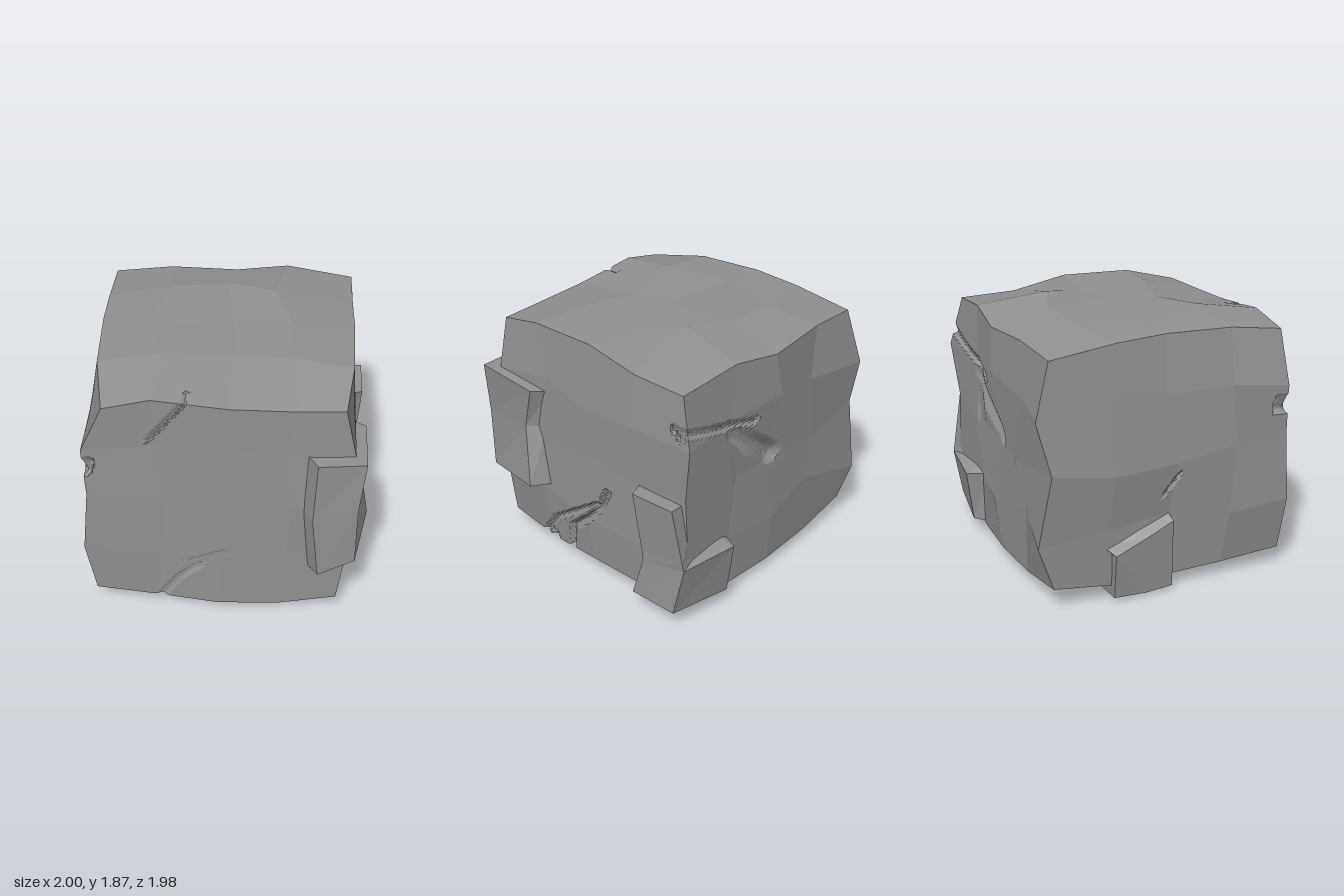
import * as THREE from 'three';

const V = (x, y, z) => new THREE.Vector3(x, y, z);

// Repeatable noise in -1..1
function noise(i, j, k, s) {
  const n = Math.sin(i * 12.99 + j * 78.23 + k * 37.72 + s * 51.13) * 43758.545;
  return (n - Math.floor(n)) * 2 - 1;
}

// Heights of the top and bottom, rows from back to front, columns from left to right
const TOP = [
  [1.74, 1.77, 1.74, 1.80, 1.74],
  [1.80, 1.83, 1.85, 1.87, 1.75],
  [1.82, 1.82, 1.84, 1.81, 1.83],
  [1.80, 1.86, 1.81, 1.84, 1.82],
  [1.72, 1.79, 1.74, 1.73, 1.73],
];
// Plan positions of the nine inner points of the top
const TOP_PLAN = [
  [[-0.42, -0.5], [-0.03, -0.52], [0.3, -0.4]],
  [[-0.6, -0.02], [0.03, 0.03], [0.43, -0.06]],
  [[-0.42, 0.43], [0.04, 0.35], [0.45, 0.43]],
];
const BOTTOM = [
  [0.16, 0.10, 0.08, 0.08, 0.13],
  [0.10, 0.07, 0.06, 0.06, 0.12],
  [0.10, 0.06, 0.07, 0.05, 0.12],
  [0.11, 0.06, 0.05, 0.06, 0.11],
  [0.13, 0.09, 0.04, 0.03, 0.13],
];
// Depth of the back face, rows from bottom to top
const BACK = [
  [-0.86, -0.88, -0.89, -0.87, -0.85],
  [-0.97, -0.87, -0.94, -0.87, -0.91],
  [-0.88, -0.94, -0.86, -0.92, -0.89],
  [-0.97, -0.88, -0.95, -0.88, -0.94],
  [-0.86, -0.89, -0.92, -0.89, -0.85],
];
// Silhouette of the side edges, from bottom to top
const FRONT_LEFT = [-0.91, -0.975, -0.93, -0.95, -0.79];
const BACK_LEFT = [-0.92, -0.93, -0.97, -0.93, -0.89];
const FRONT_RIGHT = [0.79, 0.85, 0.87, 0.87, 0.79];
const BACK_RIGHT = [0.86, 0.87, 0.88, 0.9, 0.86];

// One control point of the coarse 4 x 4 x 4 stone lattice
function node(i, j, k) {
  const edge = (n) => n === 0 || n === 4;
  const slide = (n, s) => (n - 2) * 0.44 + noise(i, j, k, s) * 0.055;
  let x = slide(i, 1), y = 0.95 + slide(j, 2), z = slide(k, 3);
  if (j === 4 && !edge(i) && !edge(k)) [x, z] = TOP_PLAN[k - 1][i - 1];
  if (edge(i)) {
    const a = i ? BACK_RIGHT[j] : BACK_LEFT[j];
    const b = i ? FRONT_RIGHT[j] : FRONT_LEFT[j];
    x = a + (b - a) * (k / 4) ** 5 + (edge(k) || edge(j) ? 0 : noise(i, j, k, 4) * 0.025);
  }
  if (j === 4) y = TOP[k][i];
  if (j === 0) y = BOTTOM[k][i];
  if (k === 4) z = 0.88 + noise(i, j, k, 6) * 0.018;
  if (k === 0) z = BACK[j][i];
  return V(x, y, z);
}

// Cracks and chips: face axis, side, width, depth, path on the other two axes
const CRACKS = [
  ['z', 1, 0.024, 0.025, [[-0.51, 1.46], [-0.24, 1.8]]],
  ['z', 1, 0.05, 0.014, [[-0.48, 0.24], [-0.28, 0.38], [0, 0.5]]],
  ['z', 1, 0.04, 0.02, [[-0.45, 0.08], [-0.32, 0.26], [-0.18, 0.38]]],
  ['x', 1, 0.033, 0.04, [[0.75, -0.17], [0.6, -0.1], [0.45, 0.03], [0.3, 0.2], [0.08, 0.23]]],
  ['x', 1, 0.03, 0.03, [[0.6, -0.06], [0.3, 0.38], [0.08, 0.55]]],
  ['z', -1, 0.04, 0.035, [[0.88, 1.5], [0.5, 1.38], [0.2, 1.32]]],
  ['z', -1, 0.09, 0.04, [[0.4, 1.28], [0.15, 1.1], [-0.03, 0.96]]],
  ['z', -1, 0.1, 0.025, [[0.4, 1.25], [0.36, 0.95]]],
  ['x', -1, 0.022, 0.015, [[0.7, -0.06], [0.85, 0.06]]],
  ['y', -1, 0.04, 0.045, [[0.85, 0.42], [0.62, 0.3], [0.4, 0.05]]],
  ['z', 1, 0.05, 0.05, [[-0.93, 1.2], [-0.91, 1.27]]],
  ['x', 1, 0.04, 0.05, [[1.46, -0.86], [1.48, -0.84]]],
];
const OTHERS = { x: ['y', 'z'], y: ['x', 'z'], z: ['x', 'y'] };
const CENTRE = V(0, 0.95, 0);

function segmentDistance(px, py, [ax, ay], [bx, by]) {
  const dx = bx - ax, dy = by - ay;
  const t = THREE.MathUtils.clamp(((px - ax) * dx + (py - ay) * dy) / (dx * dx + dy * dy), 0, 1);
  return Math.hypot(px - ax - dx * t, py - ay - dy * t);
}

function crackDepth(p) {
  let depth = 0;
  for (const [axis, side, width, deep, path] of CRACKS) {
    if ((p[axis] - CENTRE[axis]) * side < 0.78) continue;
    const [u, v] = OTHERS[axis];
    for (let n = 0; n < path.length - 1; n++) {
      const d = segmentDistance(p[u], p[v], path[n], path[n + 1]);
      depth = Math.max(depth, deep * Math.min(1, 1.3 * (1 - d / width)));
    }
  }
  return depth;
}

// Main block: a fine box bent onto the coarse lattice, then carved
function blockGeometry() {
  const lattice = [];
  for (let i = 0; i < 5; i++) for (let j = 0; j < 5; j++) for (let k = 0; k < 5; k++) lattice.push(node(i, j, k));
  const box = new THREE.BoxGeometry(4, 4, 4, 96, 96, 96);
  const flat = box.toNonIndexed();
  const pos = box.attributes.position;
  const q = V(0, 0, 0), p = V(0, 0, 0);
  for (let n = 0; n < pos.count; n++) {
    q.fromBufferAttribute(pos, n).addScalar(2);
    const c = q.toArray().map((a) => THREE.MathUtils.clamp(Math.floor(a + 1e-5), 0, 3));
    const f = q.toArray().map((a, m) => a - c[m]);
    p.set(0, 0, 0);
    for (let m = 0; m < 8; m++) {
      const b = [m & 1, (m >> 1) & 1, m >> 2];
      const w = b.reduce((s, bit, a) => s * (bit ? f[a] : 1 - f[a]), 1);
      p.addScaledVector(lattice[(c[0] + b[0]) * 25 + (c[1] + b[1]) * 5 + c[2] + b[2]], w);
    }
    const depth = crackDepth(p);
    if (depth > 0) p.addScaledVector(CENTRE.clone().sub(p).normalize(), depth);
    pos.setXYZ(n, p.x, p.y, p.z);
  }
  const bent = box.toNonIndexed();
  bent.computeVertexNormals();
  flattenFacets(bent, flat.attributes.position);
  return bent;
}

// Give each coarse lattice facet one normal, leaving the carved triangles their own
function flattenFacets(geometry, source) {
  const normal = geometry.attributes.normal;
  const sums = new Map(), keys = [];
  const n = V(0, 0, 0);
  for (let t = 0; t < source.count; t += 3) {
    const key = ['getX', 'getY', 'getZ'].map((get) => {
      const mid = (source[get](t) + source[get](t + 1) + source[get](t + 2)) / 3;
      return Math.abs(mid) > 1.9999 ? Math.sign(mid) * 9 : Math.floor(mid);
    }).join();
    keys.push(key);
    if (!sums.has(key)) sums.set(key, V(0, 0, 0));
    sums.get(key).add(n.fromBufferAttribute(normal, t));
  }
  for (const sum of sums.values()) sum.normalize();
  keys.forEach((key, t) => {
    const mean = sums.get(key);
    if (mean.dot(n.fromBufferAttribute(normal, t * 3)) < 0.95) return;
    for (let c = 0; c < 3; c++) normal.setXYZ(t * 3 + c, mean.x, mean.y, mean.z);
  });
}

// Closed faceted solid through matching cross-sections
function loft(rings) {
  const out = [];
  const tri = (a, b, c) => out.push(...a, ...b, ...c);
  const n = rings[0].length, last = rings[rings.length - 1];
  for (let r = 0; r < rings.length - 1; r++) {
    for (let i = 0; i < n; i++) {
      const j = (i + 1) % n;
      tri(rings[r][i], rings[r][j], rings[r + 1][j]);
      tri(rings[r][i], rings[r + 1][j], rings[r + 1][i]);
    }
  }
  // end caps fan out from the buried inner corner
  for (let i = 0; i < n - 2; i++) {
    tri(last[n - 1], last[i], last[i + 1]);
    tri(rings[0][n - 1], rings[0][i + 1], rings[0][i]);
  }
  const g = new THREE.BufferGeometry();
  g.setAttribute('position', new THREE.Float32BufferAttribute(out, 3));
  g.computeVertexNormals();
  return g;
}

// Slab wrapping the front right edge
const frontSlab = [
  [[0.56, 0.42, 0.85], [0.65, 0.41, 0.97], [0.9, 0.55, 0.97], [1.0, 0.59, 0.48], [0.82, 0.59, 0.36], [0.6, 0.5, 0.5]],
  [[0.51, 0.9, 0.85], [0.6, 0.9, 0.98], [0.9, 1.0, 0.98], [0.93, 1.03, 0.57], [0.84, 1.03, 0.45], [0.6, 0.95, 0.5]],
  [[0.54, 1.37, 0.85], [0.62, 1.37, 0.99], [0.94, 1.38, 0.97], [0.95, 1.34, 0.48], [0.84, 1.33, 0.39], [0.6, 1.35, 0.5]],
];
// Slab wrapping the back right edge, with a low ledge on the back
const backSlab = [
  [[0.84, 0.12, -0.46], [0.97, 0.13, -0.49], [0.98, 0.14, -0.87], [0.5, 0.11, -0.94], [0.42, 0.1, -0.84], [0.5, 0.13, -0.5]],
  [[0.84, 0.42, -0.55], [0.95, 0.42, -0.57], [0.95, 0.5, -0.94], [0.49, 0.49, -0.99], [0.42, 0.49, -0.84], [0.5, 0.45, -0.5]],
  [[0.84, 0.5, -0.54], [0.95, 0.5, -0.56], [0.955, 0.55, -0.93], [0.6, 0.54, -0.84], [0.5, 0.54, -0.8], [0.5, 0.5, -0.5]],
  [[0.84, 0.94, -0.46], [0.98, 0.94, -0.51], [0.98, 0.95, -0.86], [0.7, 0.94, -0.84], [0.6, 0.94, -0.8], [0.5, 0.93, -0.5]],
];
// Slab under the left bottom edge
const bottomSlab = [
  [[-0.9, 0.4, -0.5], [-1.0, 0.35, -0.44], [-0.97, 0.03, -0.44], [-0.53, 0.0, -0.44], [-0.44, 0.1, -0.46], [-0.6, 0.3, -0.44]],
  [[-0.9, 0.5, -0.25], [-0.985, 0.44, -0.2], [-0.97, 0.02, -0.2], [-0.55, 0.0, -0.2], [-0.47, 0.1, -0.2], [-0.6, 0.3, -0.2]],
  [[-0.9, 0.58, -0.02], [-0.97, 0.52, 0.0], [-0.96, 0.03, 0.0], [-0.53, 0.0, 0.0], [-0.45, 0.1, 0.03], [-0.6, 0.3, 0.02]],
];

export function createModel() {
  const stone = new THREE.MeshStandardMaterial({ color: 0x909090 });
  stone.name = 'stoneGrey';
  const group = new THREE.Group();
  group.name = 'stoneBlock';
  const add = (name, geometry) => {
    const mesh = new THREE.Mesh(geometry, stone);
    mesh.name = name;
    group.add(mesh);
  };
  add('crackedBlock', blockGeometry());
  add('frontEdgeSlab', loft(frontSlab));
  add('backEdgeSlab', loft(backSlab));
  add('bottomEdgeSlab', loft(bottomSlab));
  return group;
}
